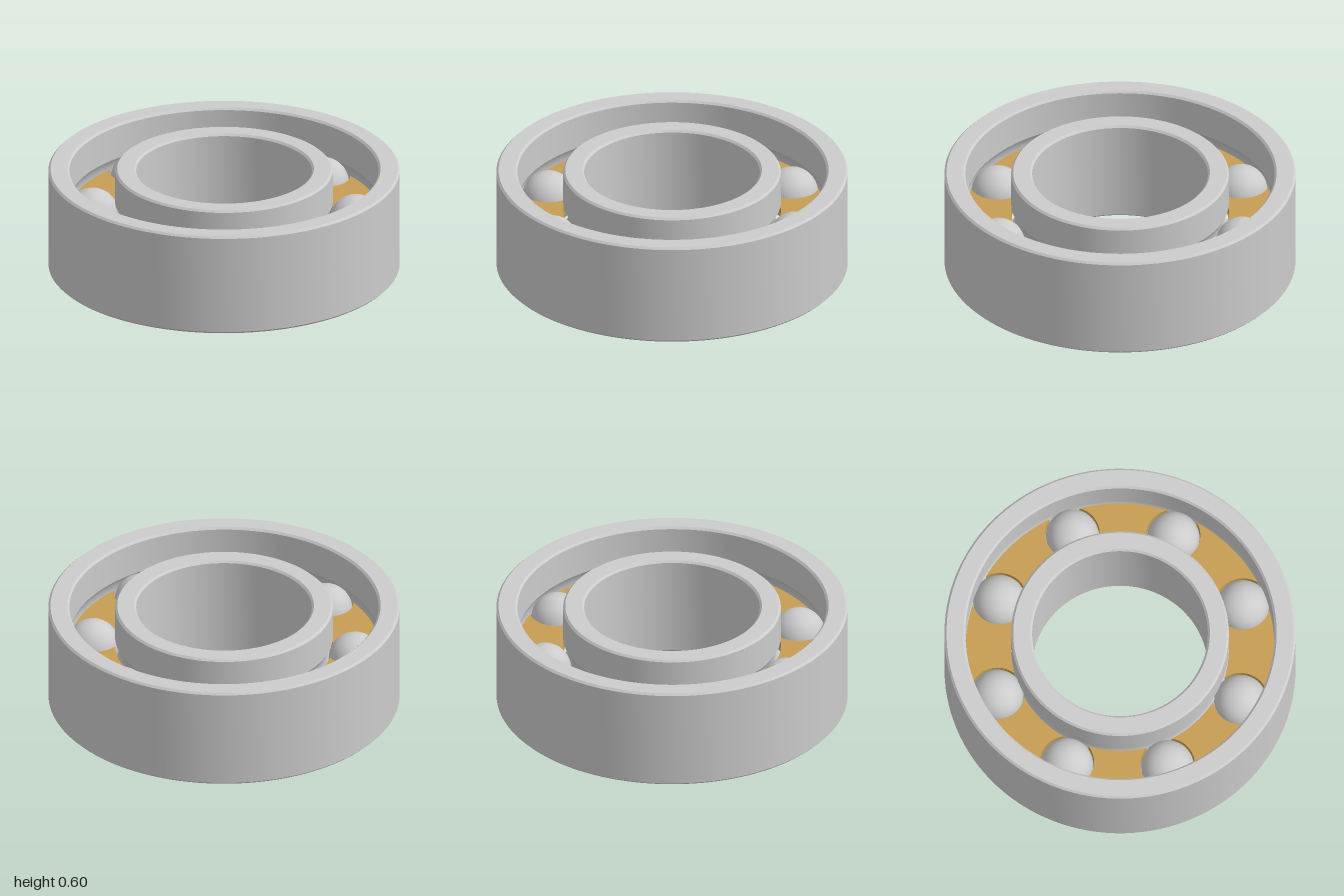
import * as THREE from 'three';
import { toCreasedNormals } from 'three/addons/utils/BufferGeometryUtils.js';

const H = 0.6, MID = 0.3;             // ring height and its mid plane
const PITCH = 0.75;                   // radius of the ball circle
const BALL = 0.15, GROOVE = 0.16, POCKET = 0.155;
const INNER = 0.62, OUTER = 0.88;     // facing walls of the two rings
const C = 0.012;                      // chamfer
const COUNT = 8;

const steel = new THREE.MeshStandardMaterial({ color: 0xcccccc });
const brass = new THREE.MeshStandardMaterial({ color: 0xc69e54 });

function add(parent, name, geometry, material) {
  const mesh = new THREE.Mesh(geometry, material);
  mesh.name = name;
  parent.add(mesh);
  return mesh;
}

// Circular raceway profile, swept from angle a to angle b
function raceway(a, b, steps = 14) {
  return Array.from({ length: steps + 1 }, (_, i) => {
    const t = a + ((b - a) * i) / steps;
    return [PITCH + GROOVE * Math.cos(t), MID + GROOVE * Math.sin(t)];
  });
}

// Chamfered ring; the raceway lies in its outer or its inner wall
function ring(r0, r1, outerGroove, innerGroove) {
  const profile = [
    [r0 + C, 0], [r1 - C, 0], [r1, C], ...outerGroove, [r1, H - C],
    [r1 - C, H], [r0 + C, H], [r0, H - C], ...innerGroove, [r0, C], [r0 + C, 0],
  ].map(([x, y]) => new THREE.Vector2(x, y));
  return toCreasedNormals(new THREE.LatheGeometry(profile, 128), 0.5);
}

// Cage piece between two neighbouring ball pockets
function cageSegment(thickness) {
  const step = (Math.PI * 2) / COUNT;
  const meet = (r) => {
    const a = Math.acos((r * r + PITCH * PITCH - POCKET * POCKET) / (2 * r * PITCH));
    return { a, b: Math.atan2(r * Math.sin(a), r * Math.cos(a) - PITCH) };
  };
  const o = meet(OUTER), i = meet(INNER);
  const shape = new THREE.Shape();
  shape.absarc(0, 0, OUTER, o.a, step - o.a, false);
  shape.absarc(PITCH * Math.cos(step), PITCH * Math.sin(step), POCKET, step - o.b, step - i.b, true);
  shape.absarc(0, 0, INNER, step - i.a, i.a, true);
  shape.absarc(PITCH, 0, POCKET, i.b, o.b, true);
  const geometry = new THREE.ExtrudeGeometry(shape, {
    depth: thickness, bevelEnabled: false, curveSegments: 16,
  });
  geometry.rotateX(-Math.PI / 2).translate(0, MID - thickness / 2, 0);
  return toCreasedNormals(geometry, 0.5);
}

export function createModel() {
  const model = new THREE.Group();
  model.name = 'ballBearing';

  // Rings
  const t = Math.acos((OUTER - PITCH) / GROOVE);
  add(model, 'outerRing', ring(OUTER, 1, [], raceway(t, -t)), steel);
  add(model, 'innerRing', ring(0.5, INNER, raceway(Math.PI + t, Math.PI - t), []), steel);

  // Balls and the cage pieces between them
  const balls = new THREE.Group();
  balls.name = 'balls';
  const cage = new THREE.Group();
  cage.name = 'cage';
  model.add(balls, cage);
  const ballGeometry = new THREE.SphereGeometry(BALL, 40, 24);
  const segmentGeometry = cageSegment(0.08);
  for (let k = 0; k < COUNT; k++) {
    const angle = (k * Math.PI * 2) / COUNT;
    add(balls, 'ball', ballGeometry, steel)
      .position.set(PITCH * Math.cos(angle), MID, PITCH * Math.sin(angle));
    add(cage, 'cageSegment', segmentGeometry, brass).rotation.y = angle;
  }
  return model;
}
